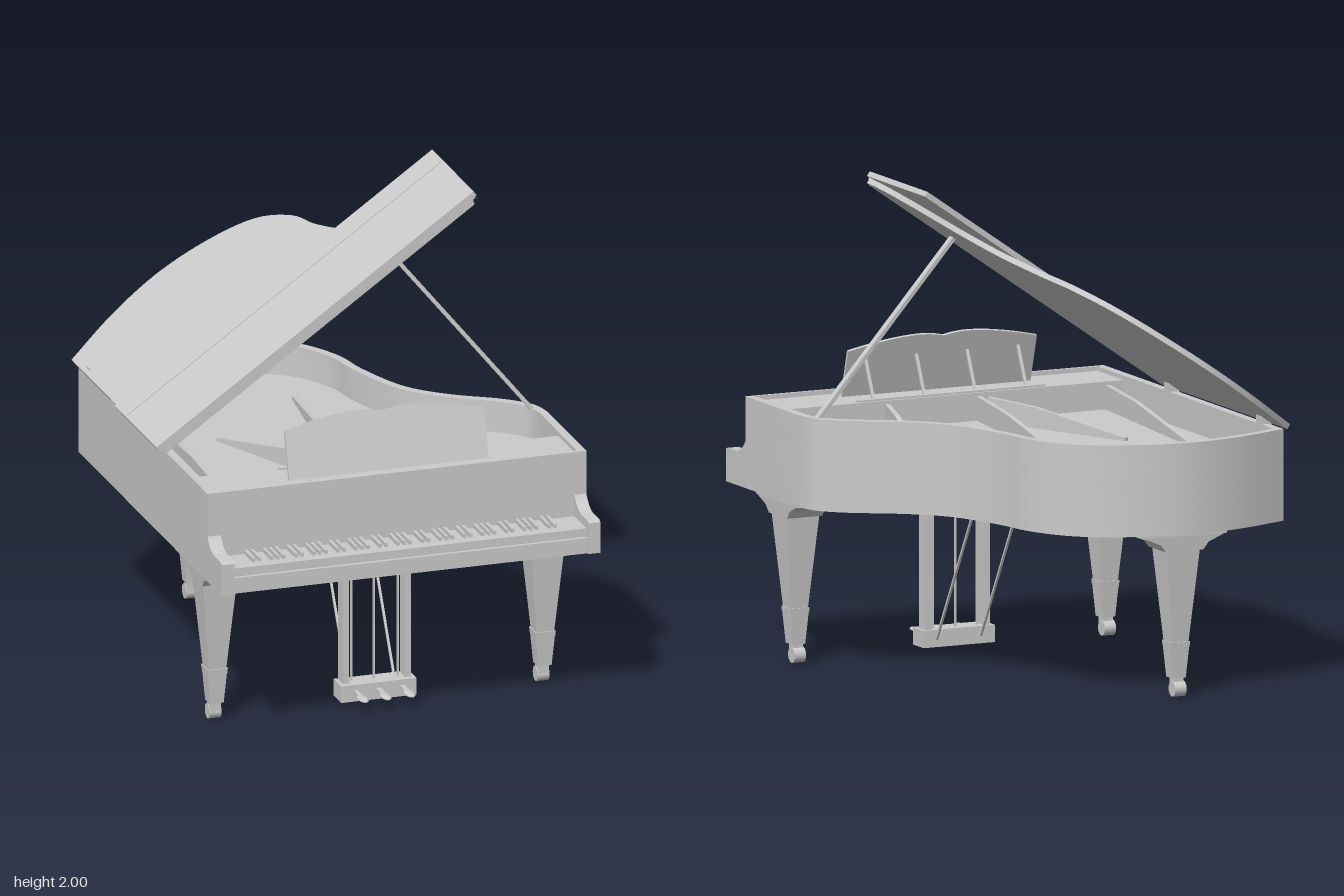
import * as THREE from 'three';
import { toCreasedNormals } from 'three/addons/utils/BufferGeometryUtils.js';

const V2 = (x, y) => new THREE.Vector2(x, y);
const V3 = (x, y, z) => new THREE.Vector3(x, y, z);

export function createModel() {
  const root = new THREE.Group();
  const mat = new THREE.MeshStandardMaterial({ color: 0xcccccc });

  const add = (name, geo, parent = root) => {
    const m = new THREE.Mesh(geo, mat);
    m.name = name;
    parent.add(m);
    return m;
  };
  // box given by its limits
  const box = (name, x0, x1, y0, y1, z0, z1, parent) =>
    add(name, new THREE.BoxGeometry(x1 - x0, y1 - y0, z1 - z0)
      .translate((x0 + x1) / 2, (y0 + y1) / 2, (z0 + z1) / 2), parent);
  // straight bar between two points
  const bar = (name, a, b, w, d, parent) => {
    const dir = b.clone().sub(a);
    const m = add(name, new THREE.BoxGeometry(w, dir.length(), d), parent);
    m.position.copy(a).add(b).multiplyScalar(0.5);
    m.quaternion.setFromUnitVectors(V3(0, 1, 0), dir.normalize());
    return m;
  };
  // four-sided block whose top and bottom differ in size
  const taper = (name, y0, w0, d0, y1, w1, d1, parent) => {
    const g = new THREE.BoxGeometry(1, y1 - y0, 1).toNonIndexed();
    const p = g.attributes.position;
    for (let i = 0; i < p.count; i++) {
      const top = p.getY(i) > 0;
      p.setX(i, p.getX(i) * (top ? w1 : w0));
      p.setZ(i, p.getZ(i) * (top ? d1 : d0));
    }
    g.translate(0, (y0 + y1) / 2, 0).computeVertexNormals();
    return add(name, g, parent);
  };
  // plan outline (x, z) raised from y0 to y1
  const toShape = pts => pts.map(p => V2(p.x, -p.y));
  const slab = (name, pts, y0, y1, hole, parent) => {
    const s = new THREE.Shape(toShape(pts));
    if (hole) s.holes.push(new THREE.Path(toShape(hole)));
    const g = new THREE.ExtrudeGeometry(s, { depth: y1 - y0, bevelEnabled: false });
    return add(name, toCreasedNormals(g.rotateX(-Math.PI / 2).translate(0, y0, 0), 0.5), parent);
  };
  // move an outline inwards by d (outwards when negative)
  const inset = (pts, d) => pts.map((p, i) => {
    const a = p.clone().sub(pts[(i + pts.length - 1) % pts.length]).normalize();
    const b = pts[(i + 1) % pts.length].clone().sub(p).normalize();
    const na = V2(a.y, -a.x), nb = V2(b.y, -b.x);
    const n = na.clone().add(nb);
    return p.clone().addScaledVector(n, d / (1 + na.dot(nb)));
  });

  // Curved case outline, from the bent side round the tail
  const bent = new THREE.SplineCurve([
    [0.81, 0.3], [0.785, 0.2], [0.69, 0.1], [0.52, -0.01], [0.4, -0.12], [0.335, -0.23],
    [0.27, -0.42], [0.23, -0.6], [0.12, -0.78], [-0.07, -0.89], [-0.3, -0.94],
    [-0.54, -0.91], [-0.775, -0.825]].map(p => V2(...p))).getPoints(60);
  const outline = [V2(-0.775, 0.78), V2(0.81, 0.78), ...bent];
  const inner = inset(outline, 0.035);
  inner[0].y = inner[1].y = 0.765;

  // Case
  slab('caseBase', outline, 0.67, 0.91);
  slab('rim', outline, 0.91, 1.04, inner);
  box('frontDeck', -0.745, 0.778, 0.905, 1.022, 0.53, 0.77);
  box('deckPlate', -0.33, 0.36, 1.02, 1.03, 0.71, 0.765);

  // Tapering frame struts over the soundboard
  [[-0.67, 0.53, -0.6, -0.35], [-0.13, 0.5, -0.42, -0.14],
    [-0.1, 0.53, 0.02, -0.5], [0.305, 0.53, 0.42, 0.05]].forEach(([x0, z0, x1, z1]) => {
    const L = Math.hypot(x1 - x0, z1 - z0);
    const s = new THREE.Shape([V2(0, 0), V2(L, 0), V2(L, 0.015), V2(L * 0.35, 0.085), V2(0, 0.1)]);
    const m = add('frameStrut', new THREE.ExtrudeGeometry(s, { depth: 0.02, bevelEnabled: false })
      .translate(0, 0, -0.01));
    m.position.set(x0, 0.908, z0);
    m.rotation.y = Math.atan2(z0 - z1, x1 - x0);
  });

  // Keyboard
  box('keyBed', -0.73, 0.77, 0.67, 0.735, 0.77, 0.945);
  box('whiteKeys', -0.72, 0.76, 0.73, 0.77, 0.77, 0.93);
  for (let i = 0; i < 51; i++) {
    if (i % 7 === 2 || i % 7 === 6) continue;
    const x = -0.615 + i * 0.0252;
    box('blackKey', x - 0.006, x + 0.006, 0.765, 0.787, 0.78, 0.885);
  }
  // Key cheeks with a scooped top
  const cheek = new THREE.Shape();
  cheek.moveTo(0.77, 0.67);
  cheek.lineTo(0.955, 0.67);
  cheek.lineTo(0.955, 0.8);
  cheek.lineTo(0.94, 0.807);
  cheek.lineTo(0.86, 0.807);
  cheek.quadraticCurveTo(0.81, 0.815, 0.78, 0.86);
  cheek.lineTo(0.77, 0.86);
  [[-0.72, 0.055], [0.81, 0.05]].forEach(([x, w]) => {
    const g = new THREE.ExtrudeGeometry(cheek, { depth: w, bevelEnabled: false })
      .rotateY(-Math.PI / 2).translate(x, 0, 0);
    add('keyCheek', toCreasedNormals(g, 0.5));
  });

  // Music desk, leaning back on its struts
  const desk = new THREE.Shape();
  desk.moveTo(-0.405, 0);
  desk.lineTo(0.43, 0);
  desk.lineTo(0.43, 0.2);
  desk.quadraticCurveTo(0.25, 0.245, 0.13, 0.248);
  desk.quadraticCurveTo(0.07, 0.25, 0.012, 0.235);
  desk.quadraticCurveTo(-0.045, 0.25, -0.105, 0.248);
  desk.quadraticCurveTo(-0.225, 0.245, -0.405, 0.2);
  const deskMesh = add('musicDesk', toCreasedNormals(
    new THREE.ExtrudeGeometry(desk, { depth: 0.012, bevelEnabled: false }), 0.4));
  deskMesh.position.set(0, 1.022, 0.685);
  deskMesh.rotation.x = -0.29;
  box('deskRail', -0.4, 0.43, 1.02, 1.03, 0.54, 0.56);
  [-0.325, -0.1, 0.125, 0.35].forEach(x =>
    bar('deskStrut', V3(x, 1.025, 0.565), V3(x, 1.18, 0.637), 0.012, 0.008));

  // Raised lid with the front flap folded back over it
  const lid = new THREE.Group();
  lid.name = 'lid';
  lid.position.set(-0.79, 1.038, 0);
  lid.rotation.z = 0.61;
  root.add(lid);
  const lidOutline = inset([V2(-0.775, 0.275), ...bent.map((p, i) => i ? p : V2(0.81, 0.275))], -0.013)
    .map(p => V2(p.x + 0.79, p.y));
  slab('mainLid', lidOutline, 0, 0.022, null, lid);
  box('frontFlap', -0.008, 1.612, 0.026, 0.048, -0.228, 0.288, lid);
  box('flapHinge', 0, 1.6, 0.02, 0.028, 0.26, 0.288, lid);
  box('flapStrip', 0, 1.6, 0.046, 0.051, -0.135, -0.09, lid);
  [0.14, -0.68].forEach(z => box('lidHinge', -0.785, -0.735, 1.035, 1.075, z - 0.02, z + 0.02));

  // Lid prop
  bar('lidProp', V3(0.77, 1.03, 0.225), V3(0.2, 1.73, 0.16), 0.016, 0.03);

  // Legs with flared capitals and castors
  [[-0.667, 0.545, 0], [0.705, 0.545, 0], [-0.307, -0.81, Math.PI / 2]].forEach(([x, z, turn]) => {
    const leg = new THREE.Group();
    leg.name = 'leg';
    leg.position.set(x, 0, z);
    root.add(leg);
    const cap = new THREE.Group();
    cap.name = 'legCapital';
    cap.rotation.y = turn;
    leg.add(cap);
    taper('capitalPlate', 0.655, 0.165, 0.37, 0.672, 0.165, 0.37, cap);
    taper('capitalFlare', 0.625, 0.16, 0.21, 0.655, 0.165, 0.35, cap);
    taper('capitalNeck', 0.595, 0.155, 0.165, 0.625, 0.16, 0.21, cap);
    taper('legShaft', 0.22, 0.074, 0.074, 0.6, 0.142, 0.142, leg);
    taper('legCollar', 0.2, 0.08, 0.08, 0.222, 0.084, 0.084, leg);
    taper('legFoot', 0.075, 0.058, 0.058, 0.2, 0.078, 0.078, leg);
    box('castorFork', -0.022, 0.022, 0.03, 0.08, -0.025, 0.015, leg);
    add('castorWheel', new THREE.CylinderGeometry(0.031, 0.031, 0.05, 20)
      .rotateZ(Math.PI / 2).translate(0, 0.031, -0.015), leg);
  });

  // Pedal lyre
  box('lyreBox', -0.15, 0.165, 0.02, 0.09, 0.49, 0.585);
  [-0.122, 0.138].forEach(x => box('lyrePost', x - 0.013, x + 0.013, 0.08, 0.675, 0.5, 0.56));
  [-0.09, 0.005, 0.105].forEach(x => {
    bar('pedalRod', V3(x, 0.08, 0.53), V3(x, 0.675, 0.53), 0.008, 0.008);
    box('pedalStem', x - 0.01, x + 0.01, 0.055, 0.067, 0.58, 0.66);
    add('pedal', new THREE.SphereGeometry(1, 16, 10).scale(0.021, 0.009, 0.045).translate(x, 0.062, 0.675));
  });
  [-0.09, 0.105].forEach(x =>
    bar('lyreBrace', V3(x, 0.05, 0.495), V3(x, 0.675, 0.13), 0.009, 0.009));

  return root;
}
